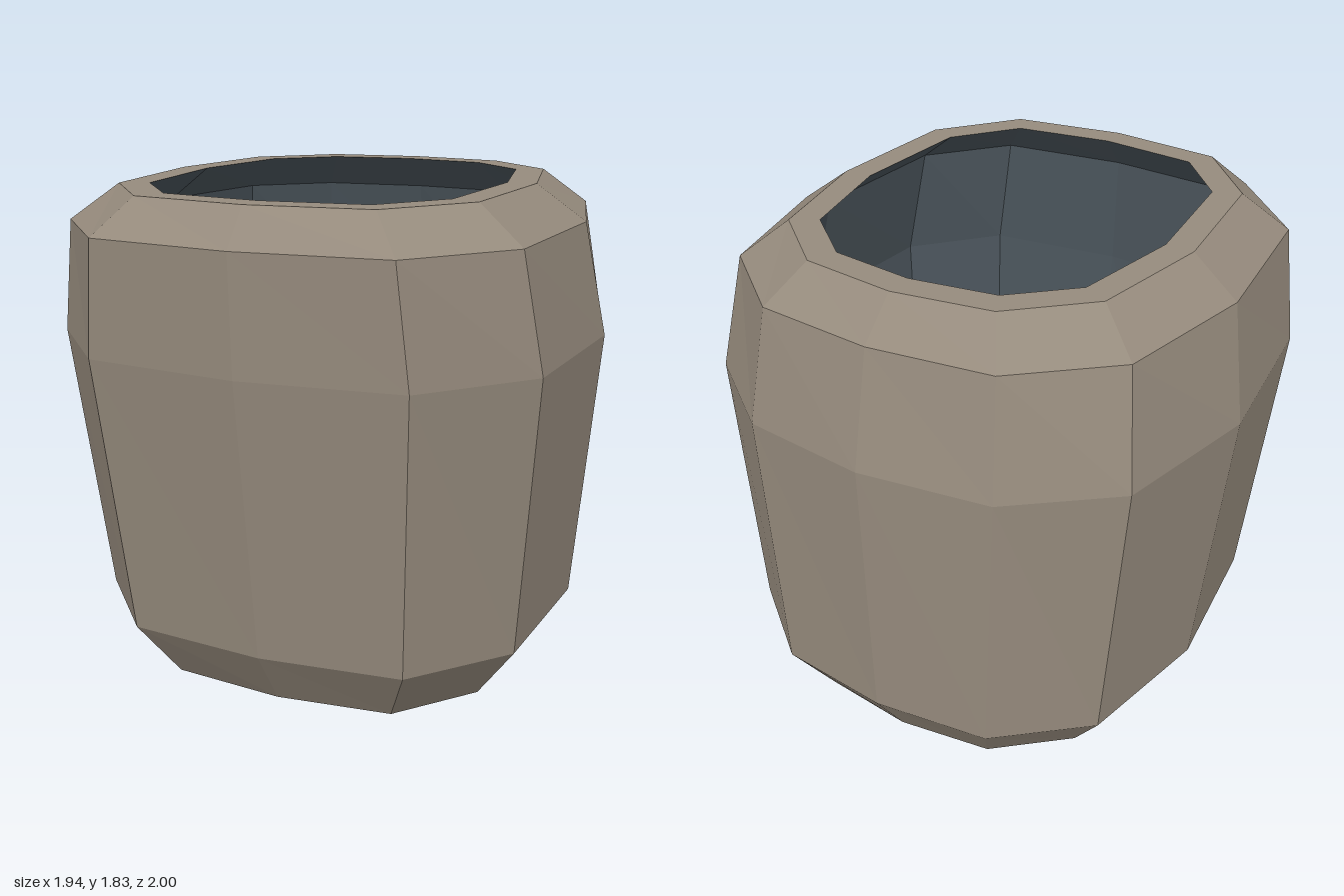
import * as THREE from 'three';

// Half outlines [x, z] from back to front at each height
const levels = [
  { y: 0, half: [[0, -0.83], [0.355, -0.785], [0.615, -0.57], [0.715, -0.125], [0.67, 0.385], [0.43, 0.655], [0, 0.7]] },
  { y: 0.23, half: [[0, -0.98], [0.435, -0.93], [0.755, -0.67], [0.877, -0.14], [0.825, 0.47], [0.525, 0.8], [0, 0.85]] },
  { y: 1.28, half: [[0, -1], [0.48, -0.938], [0.83, -0.667], [0.97, -0.1], [0.91, 0.57], [0.58, 0.925], [0, 0.985]] },
  { y: 1.7, half: [[0, -0.905], [0.445, -0.855], [0.77, -0.585], [0.893, -0.04], [0.84, 0.605], [0.538, 0.945], [0, 1]] },
  { y: 1.83, half: [[0, -0.76], [0.36, -0.71], [0.62, -0.48], [0.715, -0.01], [0.67, 0.54], [0.43, 0.83], [0, 0.885]] },
];
const WALL = 0.105;

// Full ring from a mirrored half outline
function ring({ y, half }) {
  const mirrored = half.slice(1, -1).reverse().map(([x, z]) => [-x, z]);
  return [...half, ...mirrored].map(([x, z]) => new THREE.Vector3(x, y, z));
}

// Ring moved inward by the wall thickness, mitred at the corners
function inset(points, t) {
  const n = points.length;
  const normal = (a, b) => new THREE.Vector3(b.z - a.z, 0, a.x - b.x).normalize();
  return points.map((p, i) => {
    const n1 = normal(points[(i + n - 1) % n], p);
    const n2 = normal(p, points[(i + 1) % n]);
    const miter = n1.clone().add(n2).divideScalar(1 + n1.dot(n2));
    return p.clone().addScaledVector(miter, -t);
  });
}

// Flat-faced surface through a sequence of rings
function loft(rings, material, name) {
  const pos = [];
  for (let j = 0; j + 1 < rings.length; j++) {
    const lo = rings[j], hi = rings[j + 1], n = lo.length;
    for (let i = 0; i < n; i++) {
      const k = (i + 1) % n;
      for (const p of [lo[i], hi[i], hi[k], lo[i], hi[k], lo[k]]) pos.push(p.x, p.y, p.z);
    }
  }
  const geometry = new THREE.BufferGeometry();
  geometry.setAttribute('position', new THREE.Float32BufferAttribute(pos, 3));
  geometry.computeVertexNormals();
  const mesh = new THREE.Mesh(geometry, material);
  mesh.name = name;
  return mesh;
}

export function createModel() {
  const shellMaterial = new THREE.MeshStandardMaterial({ color: 0x968b7d });
  shellMaterial.name = 'warm grey shell';
  const liningMaterial = new THREE.MeshStandardMaterial({ color: 0x4a545b });
  liningMaterial.name = 'dark slate lining';

  const outer = levels.map(ring);
  const inner = outer.map((r) => inset(r, WALL));
  const top = outer.length - 1;

  const group = new THREE.Group();
  group.name = 'hollow shell';
  group.add(
    loft(outer, shellMaterial, 'outerWall'),
    loft([outer[top], inner[top]], shellMaterial, 'topRim'),
    loft([inner[0], outer[0]], shellMaterial, 'bottomRim'),
    loft([...inner].reverse(), liningMaterial, 'innerLining'),
  );
  return group;
}
